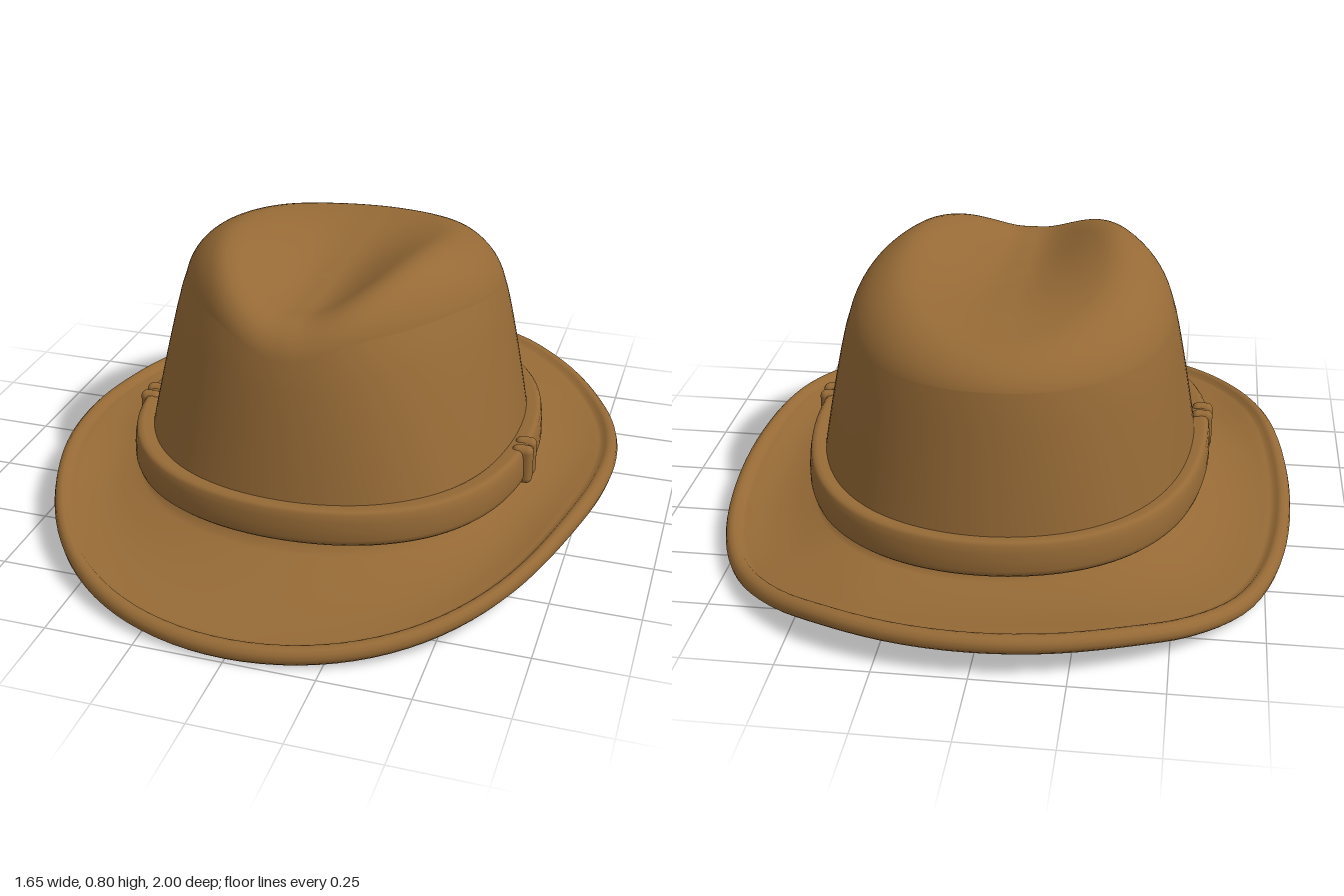
import * as THREE from 'three';
import { RoundedBoxGeometry } from 'three/addons/geometries/RoundedBoxGeometry.js';

const SEG = 112;
const { lerp, clamp, smoothstep } = THREE.MathUtils;

// Smooth curve through [position, value] keys in rising order
function curve(keys) {
  const slope = (i) => {
    const a = keys[Math.max(i - 1, 0)], b = keys[Math.min(i + 1, keys.length - 1)];
    return (b[1] - a[1]) / (b[0] - a[0]);
  };
  return (v) => {
    v = clamp(v, keys[0][0], keys[keys.length - 1][0]);
    let i = 0;
    while (i < keys.length - 2 && v > keys[i + 1][0]) i++;
    const [x0, y0] = keys[i], [x1, y1] = keys[i + 1];
    const h = x1 - x0, t = (v - x0) / h, t2 = t * t, t3 = t2 * t;
    return (2 * t3 - 3 * t2 + 1) * y0 + (t3 - 2 * t2 + t) * h * slope(i)
      + (3 * t2 - 2 * t3) * y1 + (t3 - t2) * h * slope(i + 1);
  };
}

// Skin between closed rings; each ring is a function of the angle (0 = front)
function loft(rings) {
  const pos = [], index = [];
  for (const ring of rings) {
    for (let j = 0; j < SEG; j++) pos.push(...ring((j / SEG) * Math.PI * 2));
  }
  for (let i = 0; i < rings.length - 1; i++) {
    for (let j = 0; j < SEG; j++) {
      const k = (j + 1) % SEG;
      const a = i * SEG + j, b = i * SEG + k, c = a + SEG, d = b + SEG;
      index.push(a, c, d, a, d, b);
    }
  }
  const geo = new THREE.BufferGeometry();
  geo.setAttribute('position', new THREE.Float32BufferAttribute(pos, 3));
  geo.setIndex(index);
  geo.computeVertexNormals();
  return geo;
}

// Heights and widths along z
const ridge = curve([[-0.62, 0.685], [-0.5, 0.712], [-0.3, 0.755], [0, 0.81], [0.15, 0.822], [0.3, 0.813], [0.5, 0.78]]);
const floor = curve([[-0.62, 0.685], [-0.45, 0.708], [-0.3, 0.722], [0, 0.71], [0.3, 0.7], [0.5, 0.728]]);
const dentWidth = curve([[-0.6, 0.28], [-0.2, 0.34], [0.2, 0.305], [0.5, 0.2]]);
const baseY = curve([[-0.7, 0.1], [-0.3, 0.115], [0.1, 0.135], [0.6, 0.13]]);
const bandY = curve([[-0.7, 0.112], [-0.3, 0.13], [0.1, 0.15], [0.6, 0.143]]);
const edgeY = curve([[-1, 0.1], [-0.9, 0.094], [-0.8, 0.07], [-0.6, 0.042], [-0.3, 0.062], [0, 0.1], [0.3, 0.12], [0.6, 0.088], [1, 0.026]]);

// Plan outlines: ovals with a taper toward the front and squarer corners
const oval = (rx, rz, cx, cz, taper, square) => (a, grow = 0) => {
  const s = Math.sin(a), c = Math.cos(a);
  return [cx + (rx + grow) * s * (1 - taper * c + square * c * c), cz + (rz + grow) * c];
};
const shoulder = oval(0.462, 0.558, 0, -0.05, 0.1, -0.06);
const base = oval(0.566, 0.635, 0.013, -0.035, -0.04, 0.18);
const edge = oval(0.797, 0.976, 0, 0, 0.087, 0.17);

// Pinched crown top; r runs from the middle (0) to the shoulder (1)
function topPoint(r, a) {
  const [sx, sz] = shoulder(a);
  const x = sx * r, z = -0.05 + (sz + 0.05) * r;
  const dent = smoothstep(Math.abs(x) / dentWidth(z), 0.08, 1);
  const side = Math.sin(a) ** 2;
  const drop = lerp(0.115 + 0.02 * Math.cos(a), 0.2, side);
  const start = lerp(0.76, 0.56, side);
  const q = 0.97 * Math.max(0, (r - start) / (1 - start));
  return [x, lerp(floor(z), ridge(z), dent) - drop * (1 - Math.sqrt(1 - q * q)), z];
}

// Crown wall; s runs from the shoulder (0) to the brim (1)
function wallPoint(s, a) {
  const [x0, y0, z0] = topPoint(1, a), [x1, z1] = base(a), f = s ** 0.83;
  return [lerp(x0, x1, f), lerp(y0, baseY(z1), s), lerp(z0, z1, f)];
}

// Brim surface; t runs from the crown (0) to the edge (1)
function brimPoint(t, a, out = 0, up = 0) {
  const [x0, z0] = base(a), [x1, z1] = edge(a);
  const len = Math.hypot(x1 - x0, z1 - z0), u = t + out / len;
  const y = lerp(baseY(z0), edgeY(z1), smoothstep(t, -0.3, 1.1) * 0.4 + t * 0.6);
  return [lerp(x0, x1, u), y - 0.012 * Math.sin(Math.PI * t) + up, lerp(z0, z1, u)];
}

// Lining follows the crown slightly inside and below
const inset = ([x, y, z]) => [x * 0.965, y - 0.018, -0.04 + (z + 0.04) * 0.965];

function feltRings() {
  const rings = [], topR = [], wallS = [];
  for (let i = 0; i <= 32; i++) topR.push(Math.sin((i / 32) * Math.PI / 2));
  for (let i = 1; i <= 12; i++) wallS.push(i / 12);
  // outside of crown
  topR.forEach((r) => rings.push((a) => topPoint(r, a)));
  wallS.forEach((s) => rings.push((a) => wallPoint(s, a)));
  // top of brim
  for (let i = 1; i <= 10; i++) rings.push((a) => brimPoint(i / 10, a, -0.034 * i / 10, 0.012 * i / 10));
  // rolled edge
  for (let i = 0; i <= 10; i++) {
    const w = lerp(2.7, -2.7, i / 10);
    rings.push((a) => brimPoint(1, a, 0.025 * Math.cos(w), 0.026 * Math.sin(w)));
  }
  // underside of brim
  for (let i = 10; i >= 1; i--) rings.push((a) => brimPoint(i / 10, a, -0.034 * i / 10, -0.014));
  // inside of crown, with a soft turn at the opening
  wallS.slice(0, -1).reverse().forEach((s) => rings.push((a) => inset(wallPoint(s, a))));
  topR.slice().reverse().forEach((r) => rings.push((a) => inset(topPoint(r, a))));
  return rings;
}

// Rounded strap section as [outward, up], from inner top to inner bottom
const bandSection = [[-0.026, 0.1], [0.005, 0.106], [0.017, 0.104], [0.024, 0.096], [0.028, 0.075],
  [0.03, 0.05], [0.03, 0.022], [0.026, 0.008], [0.018, 0], [0.002, 0]];

export function createModel() {
  const felt = new THREE.MeshStandardMaterial({ color: 0x966a36 });
  felt.name = 'tan felt';
  const hat = new THREE.Group();
  hat.name = 'hat';

  const add = (name, geo, parent = hat) => {
    const mesh = new THREE.Mesh(geo, felt);
    mesh.name = name;
    parent.add(mesh);
    return mesh;
  };

  add('crownAndBrim', loft(feltRings()));

  add('hatBand', loft(bandSection.map(([out, up]) => (a) => {
    const [x, z] = base(a, out);
    return [x, bandY(z) + up, z];
  })));

  // Paired strap keepers on both sides
  for (const side of [1, -1]) {
    const keeper = new THREE.Group();
    keeper.name = side > 0 ? 'leftKeeper' : 'rightKeeper';
    keeper.position.set(0.017 + side * 0.575, 0.206, 0.1);
    for (const z of [-0.025, 0.025]) {
      add('keeperLoop', new RoundedBoxGeometry(0.062, 0.118, 0.038, 4, 0.018), keeper).position.z = z;
    }
    add('keeperBridge', new RoundedBoxGeometry(0.048, 0.09, 0.05, 2, 0.01), keeper);
    hat.add(keeper);
  }
  return hat;
}
